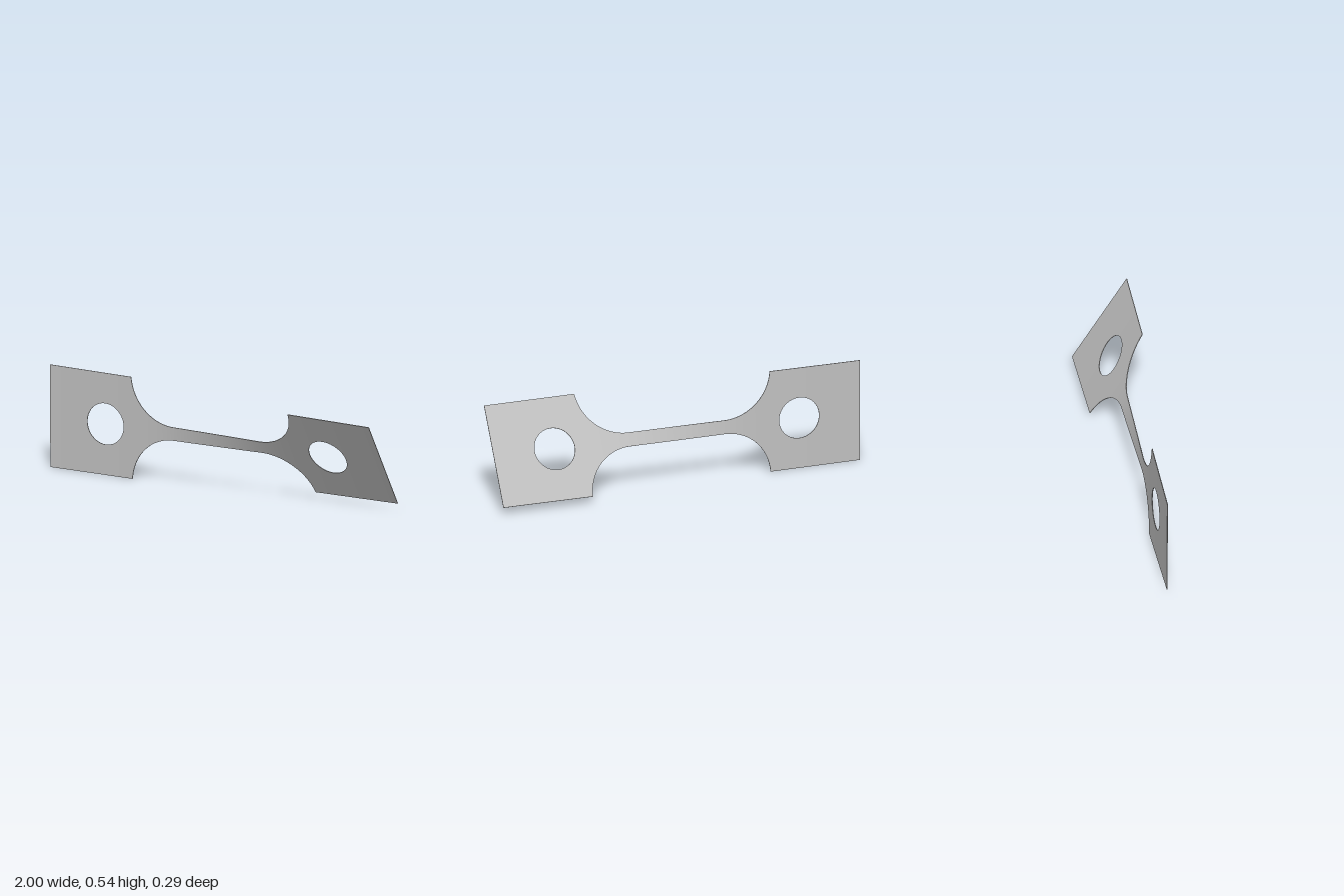
import * as THREE from 'three';

const HALF = 0.27, NECK = 0.036, R = 0.25, ARC_X = 0.26, TAB_X = 0.51;
const THICK = 0.0035, HOLE_X = 0.668, HOLE_R = 0.109;
const START = 0.3 * Math.PI / 180, END = 31.6 * Math.PI / 180;

// Half width of the strip: wide tabs, circular fillets, narrow neck
function halfWidth(x) {
  const a = Math.abs(x);
  if (a >= TAB_X) return HALF;
  if (a <= ARC_X) return NECK;
  return Math.min(HALF, NECK + R - Math.sqrt(Math.max(0, R * R - (a - ARC_X) ** 2)));
}

// Accumulated twist: the narrow parts turn much more than the tabs
const STEPS = 800, turn = [0];
for (let i = 0; i < STEPS; i++) {
  turn.push(turn[i] + halfWidth(-1 + (2 * (i + 0.5)) / STEPS) ** -1.35);
}
function angleAt(x) {
  const t = THREE.MathUtils.clamp((x + 1) / 2, 0, 1) * STEPS;
  const i = Math.min(STEPS - 1, Math.floor(t));
  const s = THREE.MathUtils.lerp(turn[i], turn[i + 1], t - i);
  return START + (END - START) * s / turn[STEPS];
}

// Turn every point and normal about the long axis
function twist(geometry) {
  const axis = new THREE.Vector3(1, 0, 0), v = new THREE.Vector3();
  const { position, normal } = geometry.attributes;
  for (let i = 0; i < position.count; i++) {
    const angle = angleAt(position.getX(i));
    for (const attribute of [position, normal]) {
      v.fromBufferAttribute(attribute, i).applyAxisAngle(axis, angle);
      attribute.setXYZ(i, v.x, v.y, v.z);
    }
  }
  return geometry;
}

// Square end tab with a round hole
function tabGeometry(side) {
  const x0 = side < 0 ? -1 : TAB_X, x1 = side < 0 ? -TAB_X : 1;
  const shape = new THREE.Shape();
  shape.moveTo(x0, -HALF);
  shape.lineTo(x1, -HALF);
  shape.lineTo(x1, HALF);
  shape.lineTo(x0, HALF);
  shape.closePath();
  const hole = new THREE.Path();
  hole.absarc(side * HOLE_X, 0, HOLE_R, 0, Math.PI * 2, true);
  shape.holes.push(hole);
  const geometry = new THREE.ExtrudeGeometry(shape, { depth: THICK, bevelEnabled: false, curveSegments: 32 });
  return twist(geometry.translate(0, 0, -THICK / 2));
}

// Neck and both fillets, with columns spaced evenly along the arcs
function neckGeometry() {
  const xs = [], arc = 24, straight = 40;
  for (let i = 0; i <= arc; i++) {
    const a = (i / arc) * Math.acos((NECK + R - HALF) / R);
    xs.push(ARC_X + R * Math.sin(a));
  }
  xs[arc] = TAB_X;
  const columns = [...xs].reverse().map((x) => -x);
  for (let i = 1; i < straight; i++) columns.push(-ARC_X + (2 * ARC_X * i) / straight);
  columns.push(...xs);

  const n = columns.length - 1;
  const geometry = new THREE.BoxGeometry(n, 2, THICK, n, 6, 1);
  const p = geometry.attributes.position;
  for (let i = 0; i < p.count; i++) {
    const x = columns[Math.round(p.getX(i) + n / 2)];
    p.setXY(i, x, p.getY(i) * halfWidth(x));
  }
  geometry.computeVertexNormals();
  return twist(geometry);
}

export function createModel() {
  const group = new THREE.Group();
  group.name = 'twistedStrip';
  const metal = new THREE.MeshStandardMaterial({ color: 0xc0c0c0 });
  metal.name = 'lightGrey';

  const parts = { rightTab: tabGeometry(-1), twistedNeck: neckGeometry(), leftTab: tabGeometry(1) };
  for (const [name, geometry] of Object.entries(parts)) {
    const mesh = new THREE.Mesh(geometry, metal);
    mesh.name = name;
    mesh.position.y = HALF;
    group.add(mesh);
  }
  return group;
}
